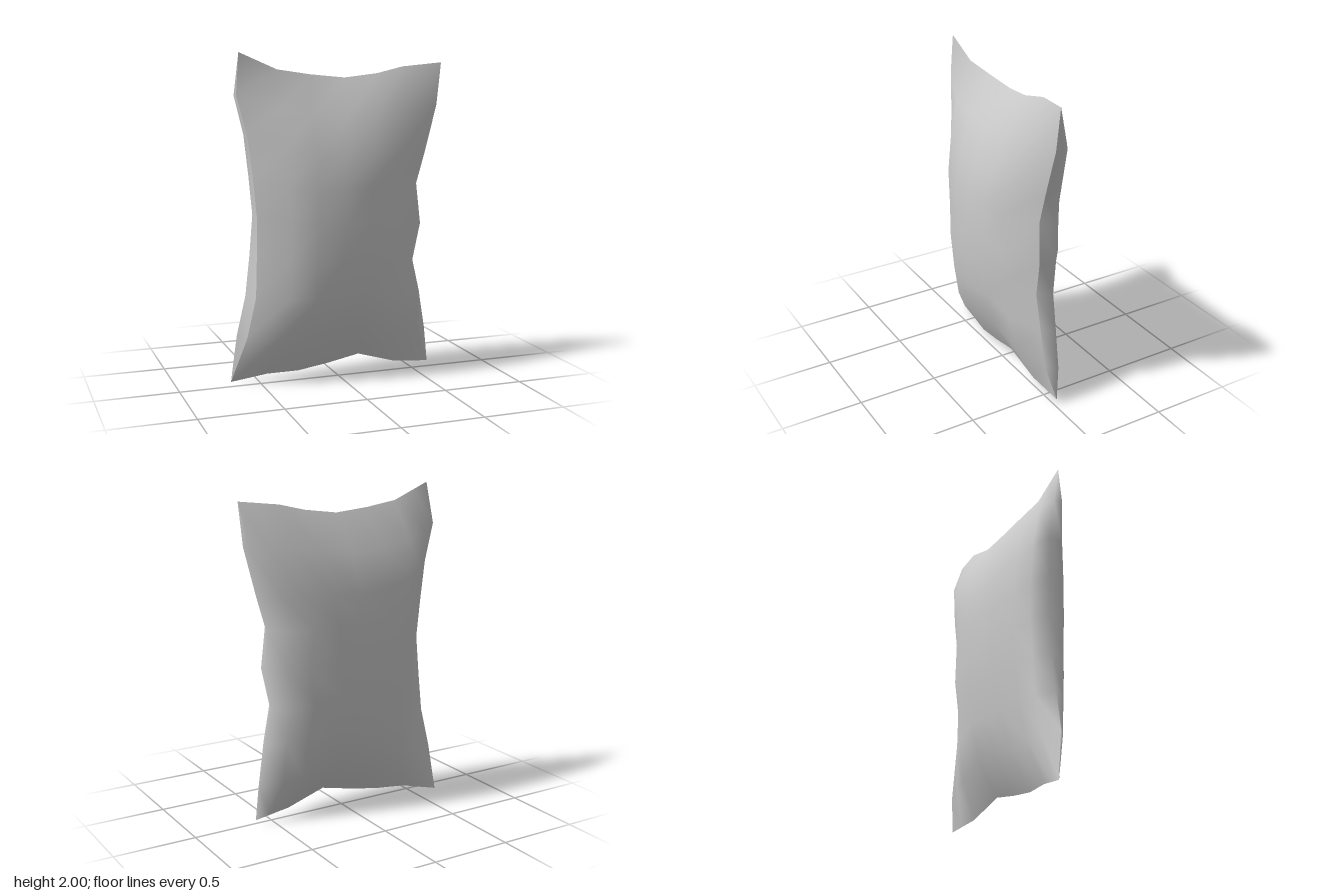
import * as THREE from 'three';

// Seam edges as [x, y, z]; sides run top to bottom, ends run left to right
const topEdge = [[-0.61, 2, -0.01], [-0.38, 1.9, -0.005], [-0.17, 1.87, -0.02], [0.05, 1.85, -0.025],
  [0.25, 1.875, 0], [0.42, 1.915, -0.01], [0.66, 1.94, 0.035]];
const bottomEdge = [[-0.665, 0.005, -0.09], [-0.45, 0.05, -0.04], [-0.26, 0.06, -0.01], [-0.08, 0.09, 0],
  [0.13, 0.135, 0.01], [0.38, 0.06, 0], [0.615, 0.035, -0.02]];
const leftEdge = [[-0.61, 2, -0.01], [-0.63, 1.75, 0], [-0.575, 1.52, 0.03], [-0.55, 1.28, 0.05],
  [-0.53, 1.04, 0.06], [-0.53, 0.8, 0.05], [-0.535, 0.55, 0.04], [-0.58, 0.3, 0], [-0.665, 0.005, -0.09]];
const rightEdge = [[0.66, 1.94, 0.035], [0.63, 1.68, 0.04], [0.55, 1.39, 0.05], [0.495, 1.2, 0.05],
  [0.52, 0.95, 0.06], [0.475, 0.72, 0.05], [0.52, 0.5, 0.045], [0.54, 0.25, 0.025], [0.615, 0.035, -0.02]];
const ROWS = leftEdge.length - 1;

const lerp = THREE.MathUtils.lerp;

// Point at fraction t along an evenly indexed polyline
function along(line, t) {
  const f = t * (line.length - 1);
  const i = Math.min(Math.floor(f), line.length - 2);
  return line[i].map((a, k) => lerp(a, line[i + 1][k], f - i));
}

// Surface spanning the four seam edges (Coons patch)
function patch(u, v) {
  const t = along(topEdge, u), b = along(bottomEdge, u);
  const l = along(leftEdge, v), r = along(rightEdge, v);
  return [0, 1, 2].map((k) => {
    const corners = lerp(lerp(topEdge[0][k], topEdge[6][k], u), lerp(bottomEdge[0][k], bottomEdge[6][k], u), v);
    return lerp(l[k], r[k], u) + lerp(t[k], b[k], v) - corners;
  });
}

// One cloth sheet: columns are [u, fullness]; depth is the z at the centre of each row
function sheet(name, half, depth, facing, outset) {
  const columns = [...half, ...half.slice(0, -1).reverse().map(([u, w]) => [1 - u, w])];
  const n = columns.length;
  const position = [], index = [];
  for (let j = 0; j <= ROWS; j++) {
    columns.forEach(([u, w], i) => {
      const p = patch(u, j / ROWS);
      if (j > 0 && j < ROWS) p[2] = lerp(p[2], depth[j], w);
      // Fold swelling out past the seam
      if (outset && i === 1) p[0] -= outset.left[j];
      if (outset && i === n - 2) p[0] += outset.right[j];
      position.push(...p);
    });
  }
  for (let j = 0; j < ROWS; j++) {
    for (let i = 0; i < n - 1; i++) {
      const a = j * n + i, b = a + 1, c = a + n, d = c + 1;
      if (facing > 0) index.push(a, c, b, b, c, d);
      else index.push(a, b, c, b, d, c);
    }
  }
  const geometry = new THREE.BufferGeometry();
  geometry.setAttribute('position', new THREE.Float32BufferAttribute(position, 3));
  geometry.setIndex(index);
  geometry.computeVertexNormals();
  const mesh = new THREE.Mesh(geometry, new THREE.MeshStandardMaterial({ color: 0xcccccc, side: THREE.DoubleSide }));
  mesh.name = name;
  return mesh;
}

export function createModel() {
  const pillow = new THREE.Group();
  pillow.name = 'pillow';
  pillow.add(
    sheet('frontSheet', [[0, 0], [1 / 6, 0.72], [1 / 3, 0.94], [0.5, 1]],
      [0, 0.115, 0.185, 0.215, 0.215, 0.21, 0.185, 0.13, 0], 1),
    sheet('backSheet', [[0, 0], [0, 0.38], [0.07, 0.67], [1 / 6, 0.88], [1 / 3, 0.98], [0.5, 1]],
      [0, -0.155, -0.2, -0.215, -0.21, -0.2, -0.17, -0.135, 0], -1, {
        left: [0, 0, 0, 0, 0, 0.02, 0.045, 0.055, 0],
        right: [0, 0, 0, 0.04, 0.015, 0.035, 0.04, 0.06, 0],
      }),
  );
  return pillow;
}
